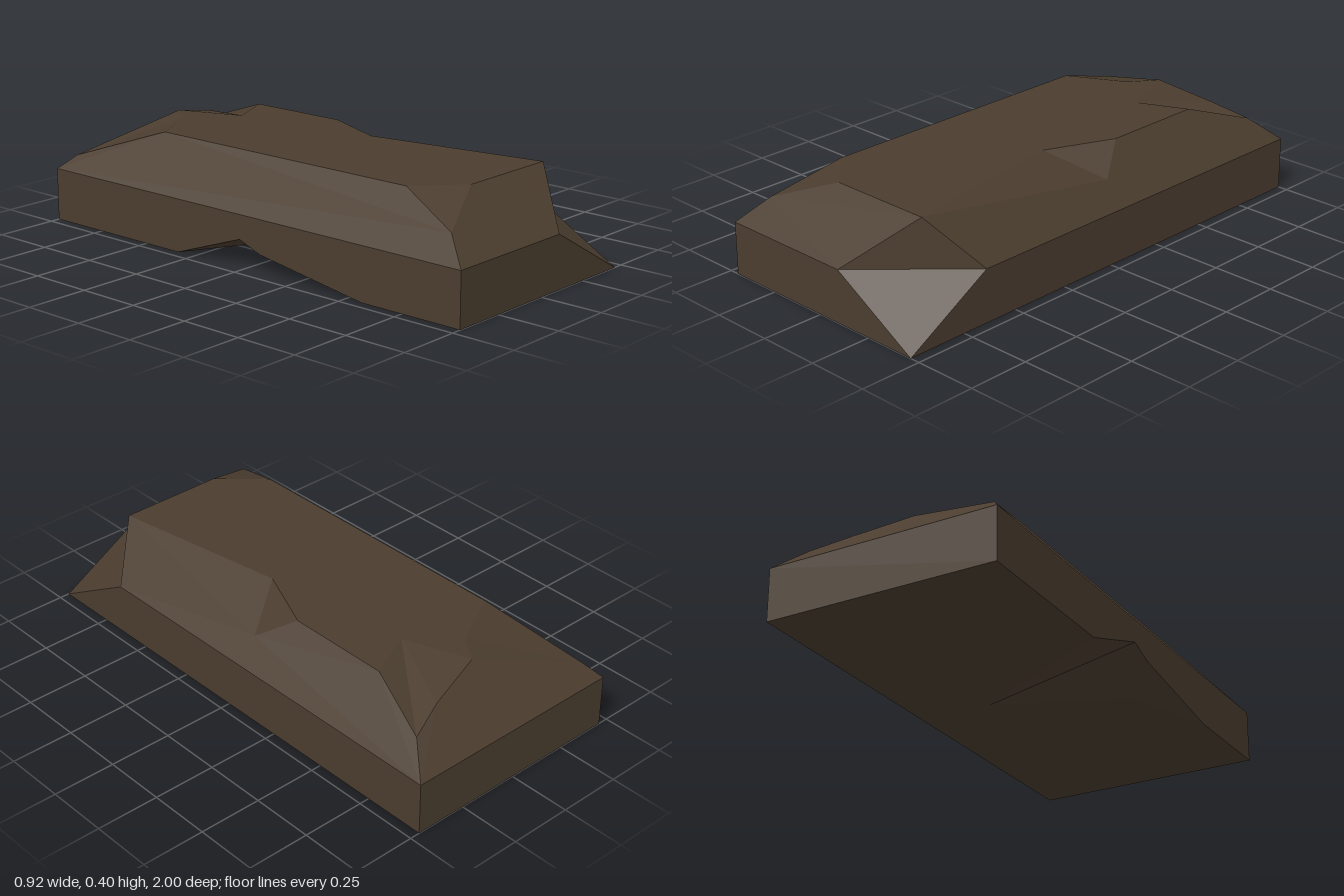
import * as THREE from 'three';

// Named corners of the chipped slab
const W = 0.46, LEDGE = 0.207, TOP = 0.395, EDGE = 0.295;
const P = {
  // foot corners
  footFL: [-W, 0, 1], footFR: [W, 0, 1], footBL: [-W, 0, -1], footBR: [W, 0, -1],
  // ledge where the walls meet the bevels (front right corner broken off)
  midFL: [-W, LEDGE, 1], midBL: [-W, LEDGE, -1], midBR: [W, LEDGE, -1],
  cutA: [0.1, LEDGE, 1], cutB: [W, LEDGE, 0.64],
  // notch under one side
  n1: [-W, 0, -0.33], n2: [-W, 0.113, -0.01], n3: [-W, 0.075, 0.09], n4: [-W, 0, 0.57],
  n5: [-0.33, 0, 0.196], n6: [0.16, 0, 0],
  // top front
  topFR: [EDGE, TOP, 0.785], chipA: [-0.13, TOP, 0.785], chipB: [-EDGE, TOP, 0.63], chipC: [-0.38, 0.298, 0.896],
  // side gouge
  gougeA: [0.18, TOP, 0.07], gougeB: [0.38, 0.298, -0.06], gougeC: [EDGE, TOP, -0.2],
  // back gouge
  backA: [EDGE, TOP, -0.62], backB: [0.1, TOP, -0.53], backC: [0.375, 0.303, -0.89],
  backD: [0.23, 0.347, -0.84], backE: [0.005, TOP, -0.785],
  // worn back corner
  wornA: [-0.07, TOP, -0.68], wornB: [-EDGE, TOP, -0.56], wornC: [-0.41, 0.263, -0.936],
};

const AXES = { x: 0, y: 1, z: 2 };

// Triangulates each facet in its projection along one axis and turns it outward
function facetMesh(name, facets, material) {
  const positions = [];
  for (const [dir, names] of facets) {
    const axis = AXES[dir[1]], sign = dir[0] === '+' ? 1 : -1;
    const pts = names.split(' ').map((n) => new THREE.Vector3(...P[n]));
    const flat = pts.map((p) => {
      const c = p.toArray();
      c.splice(axis, 1);
      return new THREE.Vector2(...c);
    });
    for (const tri of THREE.ShapeUtils.triangulateShape(flat, [])) {
      const [a, b, c] = tri.map((i) => pts[i]);
      const normal = b.clone().sub(a).cross(c.clone().sub(a));
      const order = normal.getComponent(axis) * sign > 0 ? [a, b, c] : [a, c, b];
      order.forEach((p) => positions.push(p.x, p.y, p.z));
    }
  }
  const geometry = new THREE.BufferGeometry();
  geometry.setAttribute('position', new THREE.Float32BufferAttribute(positions, 3));
  geometry.computeVertexNormals();
  const mesh = new THREE.Mesh(geometry, material);
  mesh.name = name;
  return mesh;
}

export function createModel() {
  const stone = new THREE.MeshStandardMaterial({ color: 0x4b3d2f });
  stone.name = 'brown stone';
  const group = new THREE.Group();
  group.name = 'stoneSlab';

  // Upright walls, underside and broken corner
  group.add(facetMesh('base', [
    ['+z', 'footFL footFR cutA midFL'],
    ['+x', 'footFR cutB cutA'],
    ['+x', 'footFR footBR midBR cutB'],
    ['-z', 'footBL footBR midBR midBL'],
    ['-x', 'footFL midFL midBL footBL n1 n2 n3 n4'],
    ['-y', 'footFL footFR footBR footBL n1 n6 n5 n4'],
  ], stone));

  // Hollow worn into the underside
  group.add(facetMesh('undersideNotch', [
    ['-y', 'n1 n2 n6'],
    ['-y', 'n6 n2 n3 n5'],
    ['-y', 'n5 n3 n4'],
  ], stone));

  // Bevels and flat top
  group.add(facetMesh('bevelledTop', [
    ['+y', 'chipB chipA topFR gougeA gougeC backA backB backE wornA wornB'],
    ['+y', 'cutB midBR backC backA gougeC gougeB topFR'],
    ['+y', 'midFL cutA topFR chipA chipC'],
    ['+y', 'midFL chipC chipB wornB wornC midBL'],
    ['+y', 'midBL wornC backE backD backC midBR'],
  ], stone));

  // Chips and gouges in the top
  group.add(facetMesh('chips', [
    ['+y', 'cutA cutB topFR'],
    ['+y', 'chipA chipB chipC'],
    ['+y', 'gougeA topFR gougeB'],
    ['+y', 'gougeA gougeB gougeC'],
    ['+y', 'backB backA backC'],
    ['+y', 'backB backC backD'],
    ['+y', 'backB backD backE'],
    ['+y', 'wornB wornA wornC'],
    ['+y', 'wornA backE wornC'],
  ], stone));

  return group;
}
